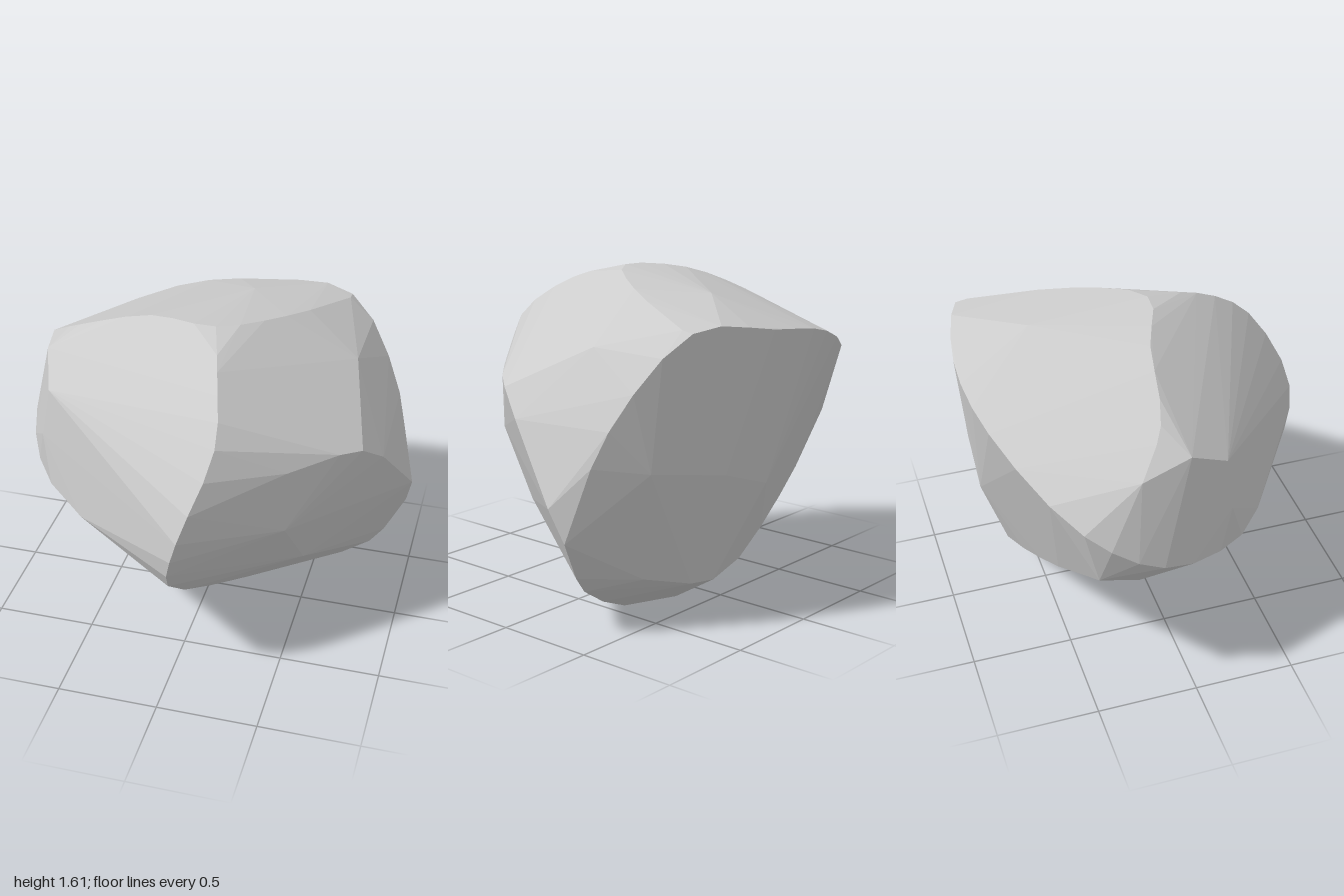
import * as THREE from 'three';
import { ConvexGeometry } from 'three/addons/geometries/ConvexGeometry.js';

const vec = (x, y, z) => new THREE.Vector3(x, y, z);

// Corners where several edges meet
const peak = vec(0.05, 1.61, 0.08);
const chin = vec(0, 0.57, 0.77);
const rightCorner = vec(0.97, 0.48, -0.36);

// Worn edges of the boulder, each a soft curve through a few points
const edges = [
  // crest over the top
  [vec(-0.9, 1.28, -0.25), vec(-0.7, 1.42, -0.1), vec(-0.3, 1.57, -0.02), peak,
    vec(0.33, 1.55, -0.22), vec(0.56, 1.44, -0.7)],
  // nose, keel and lower right rim
  [peak, vec(0.13, 1.53, 0.36), vec(0.2, 1.31, 0.67), vec(0.07, 0.9, 0.87), chin,
    vec(0.18, 0.19, 0.18), vec(0.34, 0, -0.23), vec(0.8, 0.2, -0.32), rightCorner],
  // right shoulder
  [vec(0.5, 1.12, 0.49), vec(0.8, 1.1, 0.18), vec(1, 0.64, -0.29)],
  // right back corner, top of the back, left end and low front edge
  [rightCorner, vec(0.87, 1.01, -0.54), vec(0.56, 1.43, -0.76), vec(0.1, 1.4, -0.87),
    vec(-0.4, 1.32, -0.82), vec(-0.94, 1.08, -0.53), vec(-0.995, 0.84, -0.17), vec(-0.75, 0.71, 0.3), chin],
  // low edge of the back
  [vec(-0.92, 0.78, -0.46), vec(-0.35, 0.46, -0.6), vec(0.28, 0.2, -0.67), vec(0.62, 0.26, -0.53)],
  // underside
  [vec(-0.7, 0.51, -0.2), vec(-0.35, 0.27, -0.28), vec(-0.04, 0.12, -0.4), vec(0.3, 0.07, -0.46)],
];

// Slight swellings inside the broad faces: left cheek, right cheek, back, top, belly
const swellings = [
  vec(-0.84, 1.32, 0), vec(-0.77, 1.2, 0.2), vec(-0.81, 0.95, 0.22),
  vec(0.5, 0.8, 0.5), vec(0.55, 0.48, 0.26), vec(0.68, 1.33, -0.28),
  vec(0.35, 0.75, -0.79), vec(0.05, 0.65, -0.8), vec(0.7, 0.8, -0.64),
  vec(0.1, 1.53, -0.5), vec(-0.48, 0.35, 0.06), vec(0.05, 0.08, -0.12),
];

export function createModel() {
  const group = new THREE.Group();
  group.name = 'rock';

  const points = [...swellings];
  for (const edge of edges) {
    points.push(...new THREE.CatmullRomCurve3(edge).getPoints((edge.length - 1) * 3));
  }

  // Faceted hull stretched over all the edges
  const boulder = new THREE.Mesh(
    new ConvexGeometry(points),
    new THREE.MeshStandardMaterial({ color: 0xcccccc, flatShading: true })
  );
  boulder.name = 'boulder';
  group.add(boulder);
  return group;
}
